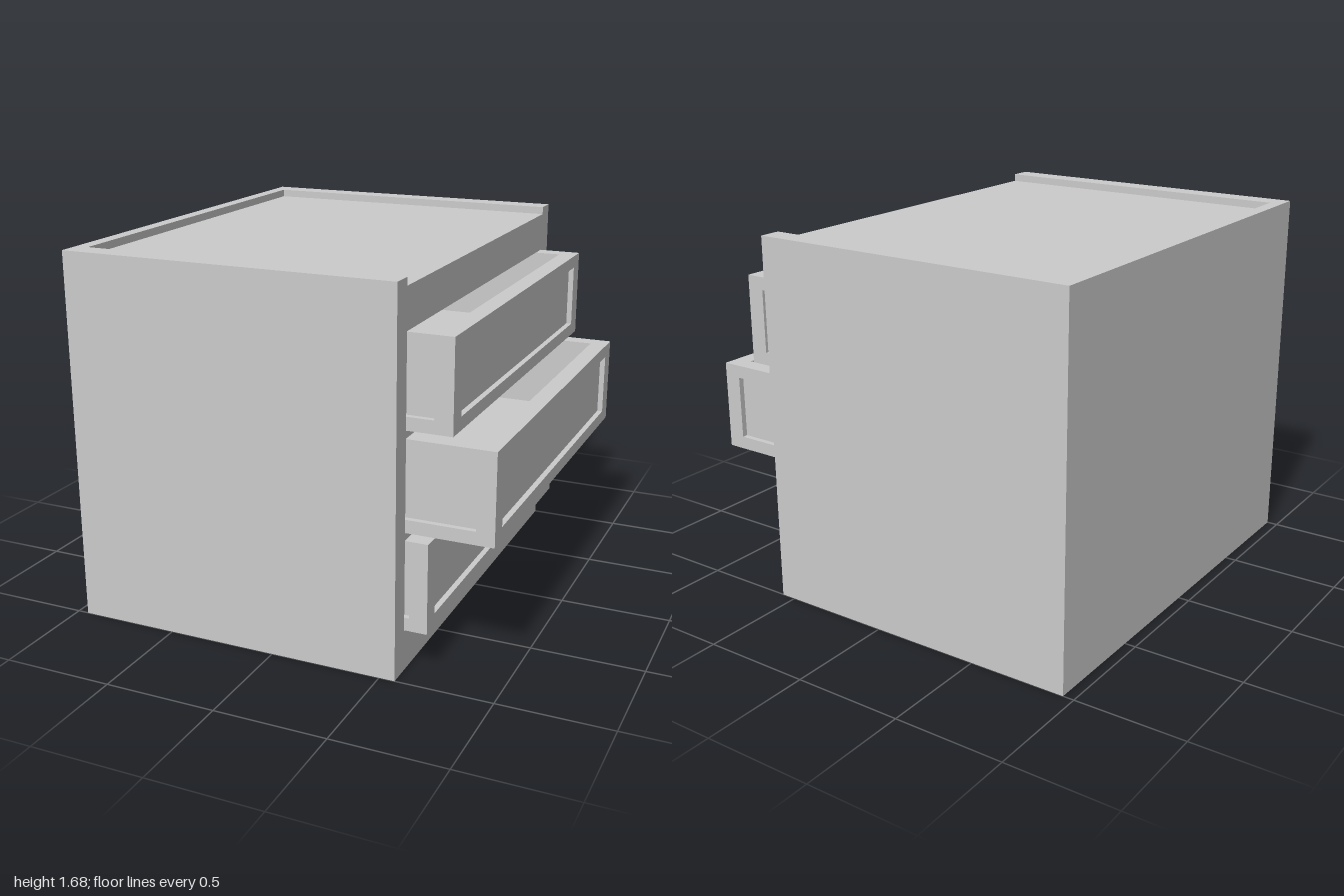
import * as THREE from 'three';

const material = new THREE.MeshStandardMaterial({ color: 0xcccccc });

function addMesh(parent, name, geometry, x = 0, y = 0, z = 0, turn = 0) {
  const mesh = new THREE.Mesh(geometry, material);
  mesh.name = name;
  mesh.position.set(x, y, z);
  mesh.rotation.y = turn;
  parent.add(mesh);
  return mesh;
}

const box = (w, h, d) => new THREE.BoxGeometry(w, h, d);

function polygon(points, Type = THREE.Shape) {
  return new Type(points.map(([x, y]) => new THREE.Vector2(x, y)));
}

function rectangle(x0, y0, x1, y1, Type) {
  return polygon([[x0, y0], [x1, y0], [x1, y1], [x0, y1]], Type);
}

const extrude = (shape, depth) =>
  new THREE.ExtrudeGeometry(shape, { depth, bevelEnabled: false });

// Cabinet and drawer sizes
const BACK = -0.95, FRONT = 0.57, WALL = 0.06, HEIGHT = 1.68, TOP = 1.645;
const DRAWER = { length: 1.42, width: 1.796, height: 0.403, wall: 0.08, floor: 0.06, relief: 0.025 };
const DRAWERS = [
  { name: 'bottomDrawer', y: 0.185, front: 0.67 },
  { name: 'middleDrawer', y: 0.623, front: 0.95 },
  { name: 'topDrawer', y: 1.061, front: 0.767 },
];

function createCabinet() {
  const cabinet = new THREE.Group();
  cabinet.name = 'cabinet';
  // Cross-section with raised side rims and one opening per drawer
  const section = polygon([
    [-1, 0], [1, 0], [1, HEIGHT], [0.9, HEIGHT],
    [0.9, TOP], [-0.9, TOP], [-0.9, HEIGHT], [-1, HEIGHT],
  ]);
  for (const { y } of DRAWERS) {
    section.holes.push(rectangle(-0.9, y - 0.002, 0.9, y + DRAWER.height + 0.002, THREE.Path));
  }
  addMesh(cabinet, 'cabinetBody', extrude(section, FRONT - BACK - WALL), BACK + WALL, 0, 0, Math.PI / 2);
  // Back panel rises to form the rear rim
  addMesh(cabinet, 'backPanel', box(WALL, HEIGHT, 2), BACK + WALL / 2, HEIGHT / 2, 0);
  return cabinet;
}

// Flat frame around a sunken panel, facing +z
function frameGeometry(width, marginX) {
  const { height, relief } = DRAWER;
  const shape = rectangle(-width / 2, 0, width / 2, height);
  shape.holes.push(rectangle(-width / 2 + marginX, 0.058, width / 2 - marginX, height - 0.058, THREE.Path));
  return extrude(shape, relief);
}

// Drawer with its front face at x = 0 and its base at y = 0
function createDrawer(name) {
  const { length, width, height, wall, floor, relief } = DRAWER;
  const drawer = new THREE.Group();
  drawer.name = name;
  const mid = -length / 2;
  const outerX = length / 2 - relief, outerZ = width / 2 - relief;
  const innerX = length / 2 - wall, innerZ = width / 2 - wall;

  // Four walls as one ring, open at the top
  const ring = rectangle(-outerX, -outerZ, outerX, outerZ);
  ring.holes.push(rectangle(-innerX, -innerZ, innerX, innerZ, THREE.Path));
  const walls = extrude(ring, height).rotateX(-Math.PI / 2);
  addMesh(drawer, 'drawerWalls', walls, mid, 0, 0);
  addMesh(drawer, 'drawerFloor', box(innerX * 2, floor, innerZ * 2), mid, floor / 2, 0);

  // Raised frames on all four sides
  const endFrame = frameGeometry(width, 0.088);
  const sideFrame = frameGeometry(length - relief * 2, wall - relief);
  addMesh(drawer, 'drawerFrontFrame', endFrame, -relief, 0, 0, Math.PI / 2);
  addMesh(drawer, 'drawerBackFrame', endFrame, -length + relief, 0, 0, -Math.PI / 2);
  addMesh(drawer, 'drawerSideFrame', sideFrame, mid, 0, outerZ);
  addMesh(drawer, 'drawerSideFrame', sideFrame, mid, 0, -outerZ, Math.PI);
  return drawer;
}

export function createModel() {
  const model = new THREE.Group();
  model.name = 'drawerCabinet';
  model.add(createCabinet());
  // Drawers pulled out by different amounts
  for (const { name, y, front } of DRAWERS) {
    const drawer = createDrawer(name);
    drawer.position.set(front, y, 0);
    model.add(drawer);
  }
  return model;
}
